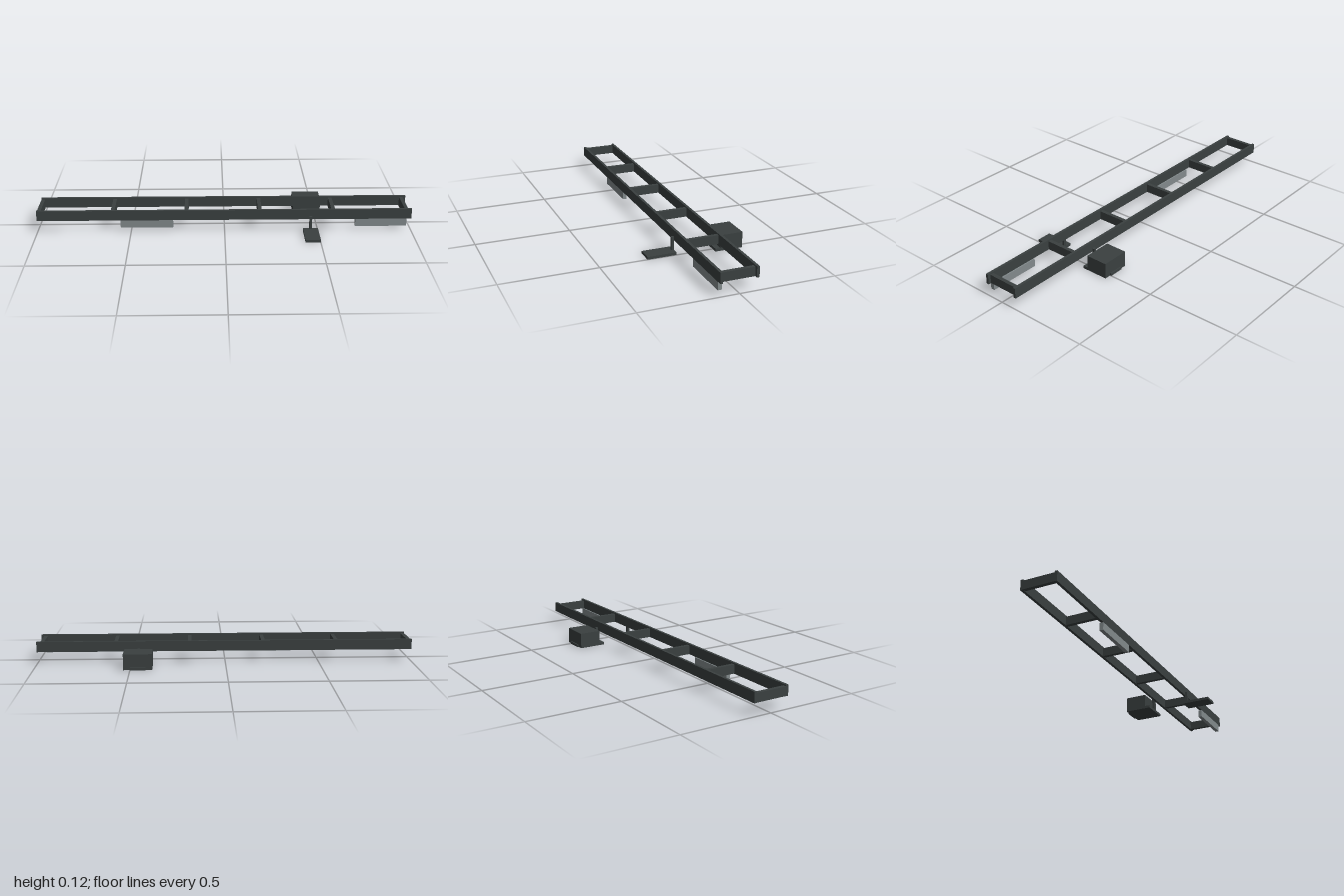
import * as THREE from 'three';

export function createModel() {
  const model = new THREE.Group();
  const steel = new THREE.MeshStandardMaterial({ color: 0x3a4040 });
  steel.name = 'dark steel';
  const plate = new THREE.MeshStandardMaterial({ color: 0x828a8c });
  plate.name = 'light grey plate';

  // Box given by its extents on each axis
  function block(name, material, [x0, x1], [y0, y1], [z0, z1], parent = model) {
    const mesh = new THREE.Mesh(new THREE.BoxGeometry(x1 - x0, y1 - y0, z1 - z0), material);
    mesh.position.set((x0 + x1) / 2, (y0 + y1) / 2, (z0 + z1) / 2);
    mesh.name = name;
    parent.add(mesh);
  }

  // Ladder frame: two long rails and six cross members
  const frame = new THREE.Group();
  frame.name = 'ladderFrame';
  model.add(frame);
  block('frontRail', steel, [-1, 1], [0.065, 0.12], [0.085, 0.099], frame);
  block('backRail', steel, [-1, 1], [0.065, 0.12], [-0.098, -0.084], frame);
  for (let i = 0; i < 6; i++) {
    const x = -0.99 + i * 0.393;
    block('crossMember', steel, [x - 0.01, x + 0.01], [0.066, 0.113], [-0.085, 0.086], frame);
  }

  // Light plates hanging under the front rail
  for (const span of [[-0.555, -0.275], [0.7, 0.975]]) {
    block('hangingPlate', plate, span, [0.023, 0.065], [0.078, 0.099]);
  }

  // Front step on its post
  const frontStep = new THREE.Group();
  frontStep.name = 'frontStep';
  model.add(frontStep);
  block('frontPost', steel, [0.453, 0.467], [0.014, 0.084], [0.099, 0.112], frontStep);
  block('frontTread', steel, [0.42, 0.5], [0, 0.014], [0.099, 0.253], frontStep);

  // Back tray on its post, carrying a box
  const backTray = new THREE.Group();
  backTray.name = 'backTray';
  model.add(backTray);
  block('backPost', steel, [0.453, 0.467], [0.014, 0.084], [-0.112, -0.098], backTray);
  block('trayFloor', steel, [0.385, 0.535], [0, 0.014], [-0.245, -0.098], backTray);
  block('trayLip', steel, [0.42, 0.5], [0, 0.014], [-0.252, -0.245], backTray);
  block('storageBox', steel, [0.385, 0.535], [0.014, 0.084], [-0.245, -0.126], backTray);

  return model;
}
